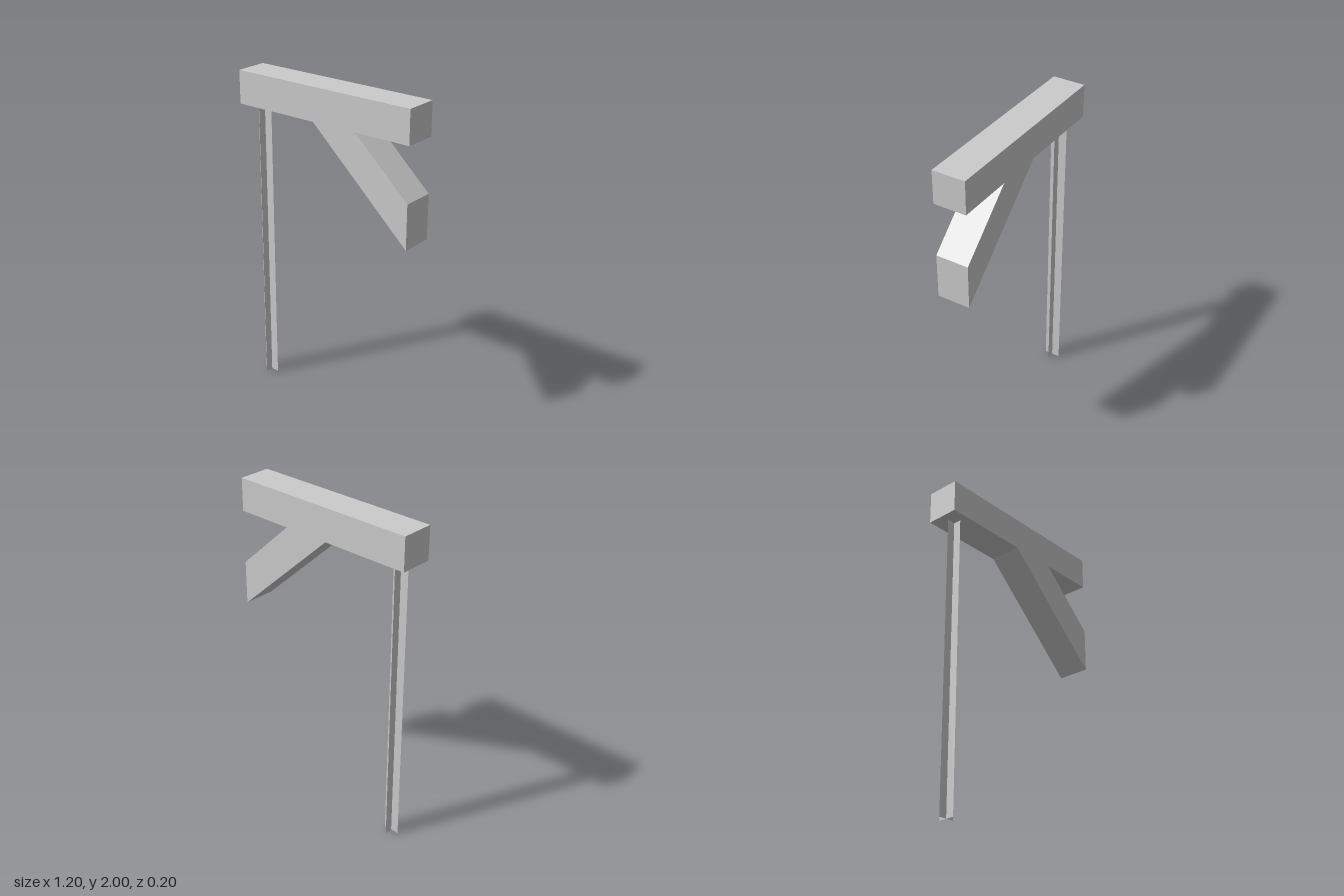
import * as THREE from 'three';

export function createModel() {
  const model = new THREE.Group();
  model.name = 'bracketOnPost';
  const solid = new THREE.MeshStandardMaterial({ color: 0xcccccc, flatShading: true });
  const thin = new THREE.MeshStandardMaterial({ color: 0xcccccc, side: THREE.DoubleSide });

  // Beam and slanted brace as one continuous outline
  const outline = new THREE.Shape([
    [-0.6, 1.8], [-0.05, 1.8], [0.6, 1.205], [0.6, 1.475],
    [0.245, 1.8], [0.6, 1.8], [0.6, 2], [-0.6, 2],
  ].map(([x, y]) => new THREE.Vector2(x, y)));
  const depth = 0.2;
  const beamGeometry = new THREE.ExtrudeGeometry(outline, { depth, bevelEnabled: false });
  beamGeometry.translate(0, 0, -depth / 2);
  const beam = new THREE.Mesh(beamGeometry, solid);
  beam.name = 'beamWithBrace';
  model.add(beam);

  // Post made of two thin crossed panels
  const post = new THREE.Group();
  post.name = 'post';
  post.position.set(-0.5, 0.9, 0);
  ['postPanelAcross', 'postPanelDeep'].forEach((name, i) => {
    const panel = new THREE.Mesh(new THREE.PlaneGeometry(0.1, 1.8), thin);
    panel.name = name;
    panel.rotation.y = i * Math.PI / 2;
    post.add(panel);
  });
  model.add(post);

  return model;
}
